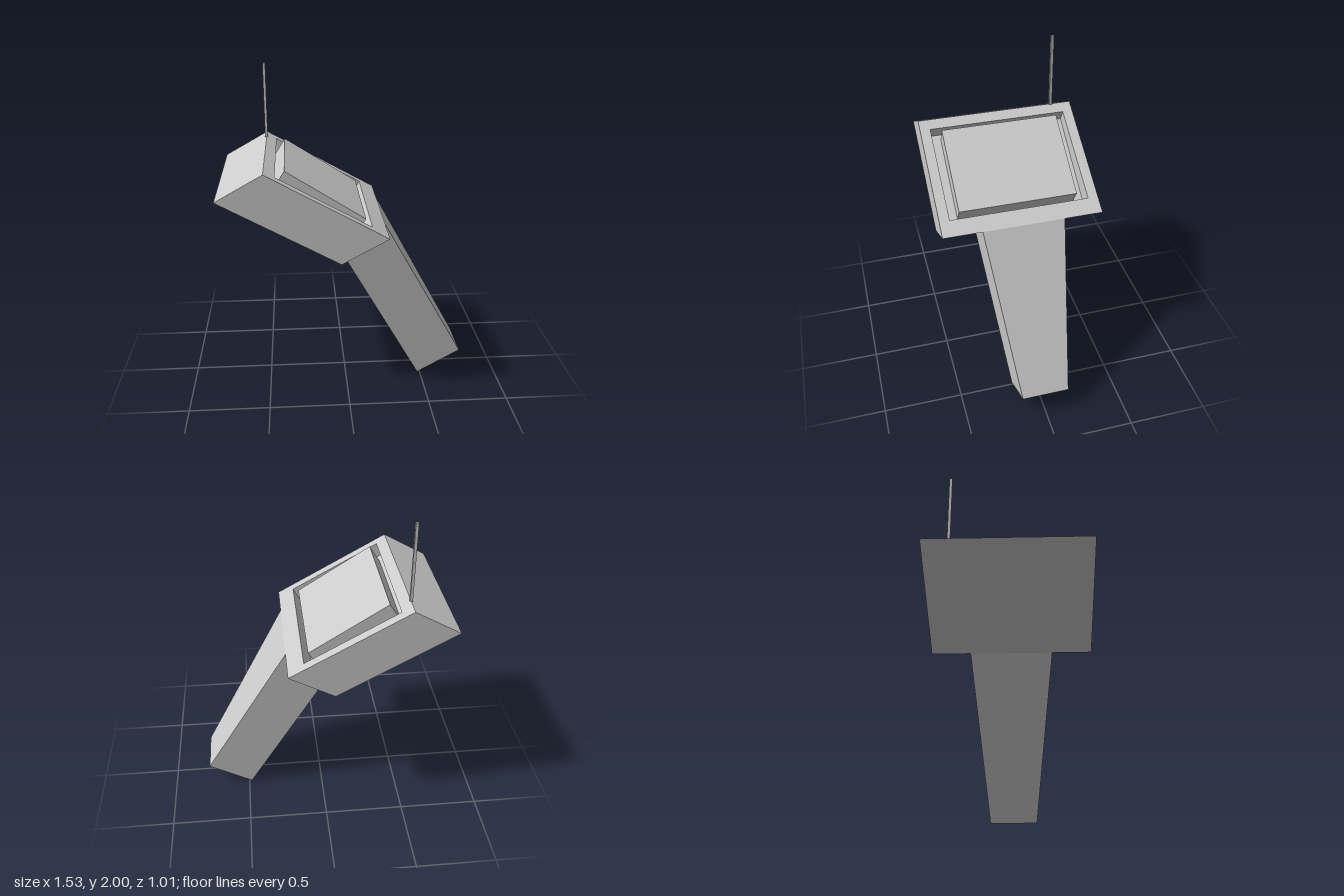
import * as THREE from 'three';

const material = new THREE.MeshStandardMaterial({ color: 0xcccccc, flatShading: true });

// Mesh from a list of four-cornered faces, corners counter-clockwise from outside
function quadMesh(name, quads) {
  const pos = quads.flatMap(([a, b, c, d]) => [a, b, c, a, c, d]).flat();
  const geo = new THREE.BufferGeometry();
  geo.setAttribute('position', new THREE.Float32BufferAttribute(pos, 3));
  geo.computeVertexNormals();
  const mesh = new THREE.Mesh(geo, material);
  mesh.name = name;
  return mesh;
}

// Four-sided profile of [x, y, half width], mirrored across z = 0.
// skip leaves out one side; inward turns the faces to the inside.
function prism(name, pts, skip = -1, inward = false) {
  const front = pts.map(([x, y, h]) => [x, y, h]);
  const back = pts.map(([x, y, h]) => [x, y, -h]);
  const quads = [front, [...back].reverse()];
  for (let i = 0; i < 4; i++) {
    const j = (i + 1) % 4;
    if (i !== skip) quads.push([front[i], back[i], back[j], front[j]]);
  }
  return quadMesh(name, inward ? quads.map((q) => [...q].reverse()) : quads);
}

export function createModel() {
  const group = new THREE.Group();
  const W = 0.507, R = 0.442, P = 0.377; // half widths of head, recess and panel

  // Slanted head, its upper side left open for the rim and recess
  const headHigh = [-0.488, 1.522], headLow = [0.23, 1.12];
  group.add(prism('head', [
    [-0.767, 1.365, W], [-0.05, 0.968, W], [...headLow, W], [...headHigh, W],
  ], 2));

  // Flat rim around the recess
  const recessHigh = [-0.425, 1.487], recessLow = [0.133, 1.174];
  const corners = (hi, lo, h) => [[...hi, h], [...lo, h], [...lo, -h], [...hi, -h]];
  const outer = corners(headHigh, headLow, W);
  const inner = corners(recessHigh, recessLow, R);
  group.add(quadMesh('rim', outer.map((p, i) => {
    const j = (i + 1) % 4;
    return [p, outer[j], inner[j], inner[i]];
  })));

  // Recess with a floor that deepens toward the low end
  group.add(prism('recess', [
    [-0.467, 1.411, R], [0.073, 1.067, R], [...recessLow, R], [...recessHigh, R],
  ], 2, true));

  // Panel standing on the tilted recess floor
  group.add(prism('panel', [
    [-0.44, 1.392, P], [0.032, 1.092, P], [0.102, 1.2, P], [-0.37, 1.502, P],
  ]));

  // Tapering leg
  group.add(prism('leg', [
    [-0.05, 0.968, 0.26], [0.483, 0.003, 0.15], [0.762, 0.16, 0.15], [...headLow, 0.26],
  ]));

  // Thin rod on the ridge
  const rod = new THREE.Mesh(new THREE.BoxGeometry(0.017, 0.49, 0.019), material);
  rod.position.set(-0.49, 1.755, -0.374);
  rod.name = 'antenna';
  group.add(rod);

  return group;
}
